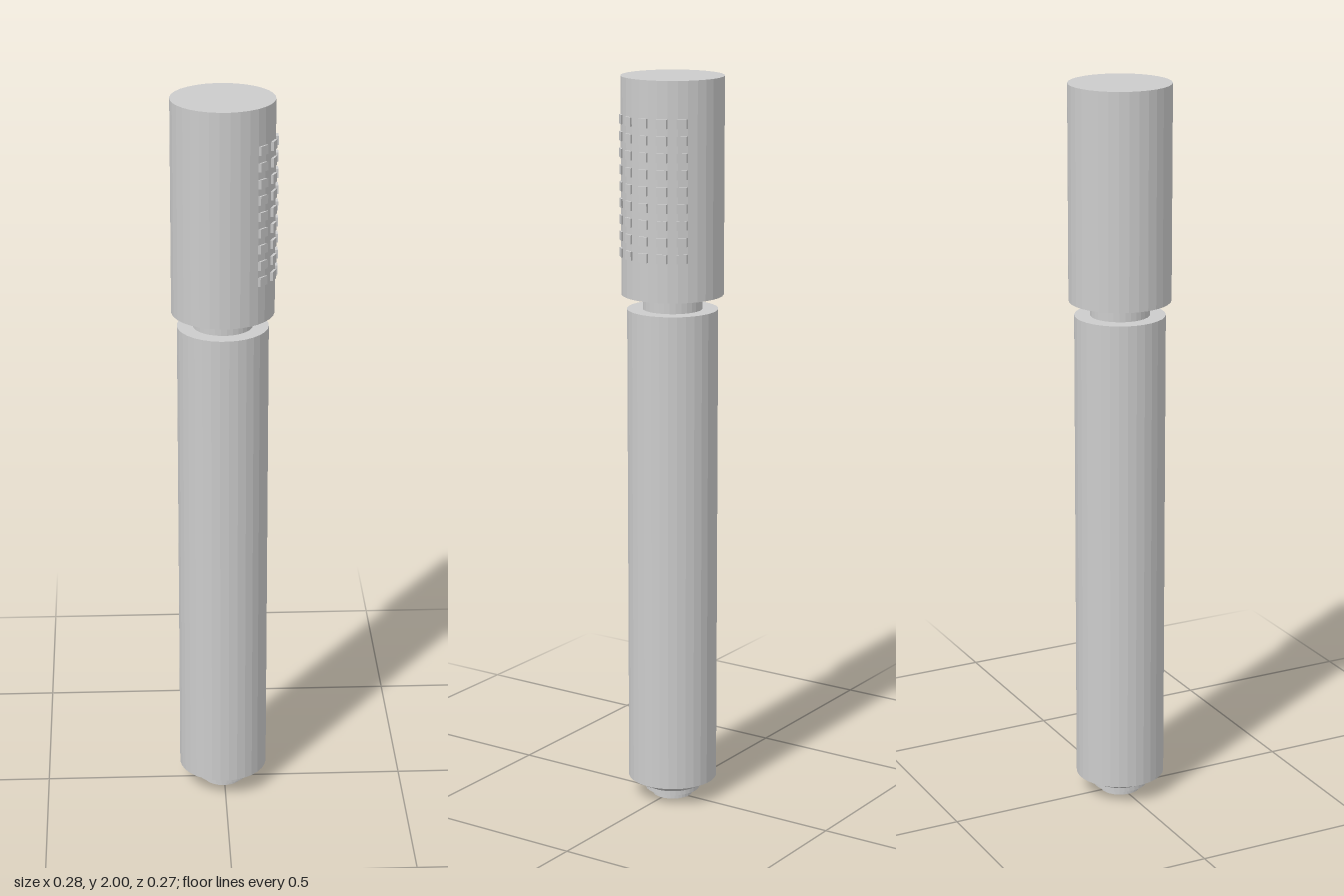
import * as THREE from 'three';

const SIDES = 32;
const STEP = (Math.PI * 2) / SIDES;
const CENTRE_X = -0.0035;
const HEAD_R = 0.137;

export function createModel() {
  const group = new THREE.Group();
  group.name = 'handShower';
  const material = new THREE.MeshStandardMaterial({ color: 0xcccccc, flatShading: true });

  // Turned part from [radius, height] pairs, bottom to top, with a facet facing +x
  function turned(name, profile) {
    const points = profile.map(([r, y]) => new THREE.Vector2(r, y));
    const mesh = new THREE.Mesh(new THREE.LatheGeometry(points, SIDES, STEP / 2), material);
    mesh.name = name;
    mesh.position.x = CENTRE_X;
    group.add(mesh);
  }

  // Handle with chamfered lower end
  turned('handle', [[0, 0.03], [0.075, 0.03], [0.122, 0.055], [0.122, 1.38], [0, 1.38]]);
  // Stepped hose connector
  turned('connectorCollar', [[0, 0.018], [0.075, 0.018], [0.075, 0.03], [0, 0.03]]);
  turned('connectorTip', [[0, 0], [0.055, 0], [0.055, 0.018], [0, 0.018]]);
  // Neck and spray head
  turned('neck', [[0, 1.38], [0.08, 1.38], [0.08, 1.42], [0, 1.42]]);
  turned('sprayHead', [[0, 1.42], [HEAD_R, 1.42], [HEAD_R, 2], [0, 2]]);

  // Spray nozzles: every second facet pushed out along +x, nine rows high
  const nozzles = new THREE.Group();
  nozzles.name = 'sprayNozzles';
  const out = 0.007, height = 0.024;
  for (let col = -2; col <= 2; col++) {
    const a = (col * 2 - 0.5) * STEP, b = (col * 2 + 0.5) * STEP;
    const corner = (angle, push) =>
      new THREE.Vector2(HEAD_R * Math.cos(angle) + push, HEAD_R * Math.sin(angle));
    const shape = new THREE.Shape([corner(a, -0.002), corner(a, out), corner(b, out), corner(b, -0.002)]);
    const geometry = new THREE.ExtrudeGeometry(shape, { depth: height, bevelEnabled: false });
    geometry.rotateX(-Math.PI / 2);
    for (let row = 0; row < 9; row++) {
      const nozzle = new THREE.Mesh(geometry, material);
      nozzle.name = 'nozzle';
      nozzle.position.set(CENTRE_X, 1.537 + row * 0.044 - height / 2, 0);
      nozzles.add(nozzle);
    }
  }
  group.add(nozzles);
  return group;
}
